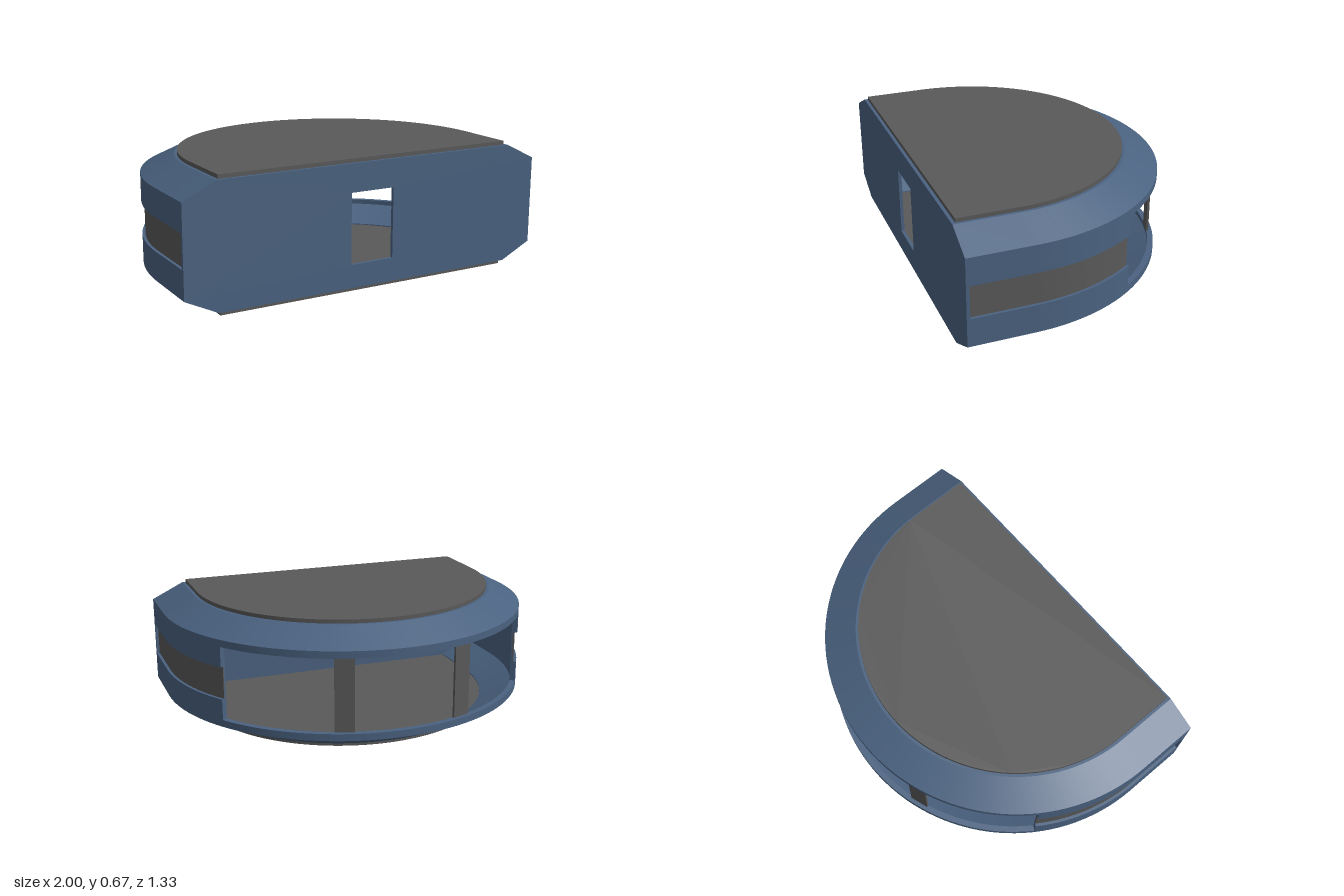
import * as THREE from 'three';
import { toCreasedNormals } from 'three/addons/utils/BufferGeometryUtils.js';

const H = 0.667;          // total height
const CZ = 0.333;         // centre of the rounded back
const FRONT = 0.65;       // inner face of the front wall
const OPEN = 0.587;       // angle at which the side walls stop

const blue = new THREE.MeshStandardMaterial({ color: 0x4a6280 });
const grey = new THREE.MeshStandardMaterial({ color: 0x595959 });

// Sweeps a closed (radius, y) profile, counterclockwise, along the D-shaped outline
function sweep(profile, from, to, segments) {
  const stations = [];
  if (from === 0) stations.push((r) => [r, FRONT]);
  for (let i = 0; i <= segments; i++) {
    const a = from + ((to - from) * i) / segments;
    stations.push((r) => [r * Math.cos(a), CZ - r * Math.sin(a)]);
  }
  if (to === Math.PI) stations.push((r) => [-r, FRONT]);

  const n = profile.length;
  const pos = [], idx = [];
  for (const at of stations) {
    for (const [r, y] of profile) {
      const [x, z] = at(r);
      pos.push(x, y, z);
    }
  }
  for (let i = 0; i < stations.length - 1; i++) {
    for (let j = 0; j < n; j++) {
      const a = i * n + j, b = i * n + ((j + 1) % n);
      idx.push(a, a + n, b, b, a + n, b + n);
    }
  }
  // end caps
  const last = (stations.length - 1) * n;
  const faces = THREE.ShapeUtils.triangulateShape(profile.map((p) => new THREE.Vector2(...p)), []);
  for (const [a, b, c] of faces) idx.push(a, b, c, last + a, last + c, last + b);

  const geo = new THREE.BufferGeometry();
  geo.setAttribute('position', new THREE.Float32BufferAttribute(pos, 3));
  geo.setIndex(idx);
  return toCreasedNormals(geo, 0.35);
}

const flip = (profile) => profile.map(([r, y]) => [r, H - y]).reverse();

export function createModel() {
  const model = new THREE.Group();
  const add = (name, geo, mat) => {
    const mesh = new THREE.Mesh(geo, mat);
    mesh.name = name;
    model.add(mesh);
    return mesh;
  };

  // chamfered rims around floor and roof
  const rim = [[0.8, 0.02], [0.83, 0.02], [1, 0.103], [1, 0.14], [0.97, 0.14], [0.97, 0.115], [0.8, 0.035]];
  add('lowerRim', sweep(rim, 0, Math.PI, 64), blue);
  add('upperRim', sweep(flip(rim), 0, Math.PI, 64), blue);

  // side walls with a recessed channel, and the strip lying in it
  const wall = [[0.97, 0.14], [1, 0.14], [1, 0.25], [0.98, 0.25], [0.98, 0.42], [1, 0.42], [1, H - 0.14], [0.97, H - 0.14]];
  const strip = [[0.975, 0.25], [0.985, 0.25], [0.985, 0.42], [0.975, 0.42]];
  for (const [side, a, b] of [['left', 0, OPEN], ['right', Math.PI - OPEN, Math.PI]]) {
    add(side + 'Wall', sweep(wall, a, b, 14), blue);
    add(side + 'Strip', sweep(strip, a, b, 14), grey);
  }

  // front wall with the doorway
  const front = new THREE.Shape([
    [-0.83, 0.02], [0.83, 0.02], [1, 0.103], [1, H - 0.103],
    [0.83, H - 0.02], [-0.83, H - 0.02], [-1, H - 0.103], [-1, 0.103],
  ].map((p) => new THREE.Vector2(...p)));
  front.holes.push(new THREE.Path([
    [-0.12, 0.14], [-0.12, 0.503], [0.12, 0.503], [0.12, 0.14],
  ].map((p) => new THREE.Vector2(...p))));
  const frontGeo = new THREE.ExtrudeGeometry(front, { depth: H - FRONT, bevelEnabled: false });
  add('frontWall', frontGeo, blue).position.z = FRONT;

  // floor and roof panels
  const plan = new THREE.Shape();
  plan.moveTo(-0.815, -FRONT);
  plan.lineTo(0.815, -FRONT);
  plan.lineTo(0.815, -CZ);
  plan.absarc(0, -CZ, 0.815, 0, Math.PI, false);
  plan.closePath();
  const panel = toCreasedNormals(
    new THREE.ExtrudeGeometry(plan, { depth: 0.03, bevelEnabled: false, curveSegments: 64 }).rotateX(-Math.PI / 2), 0.35);
  add('floorPanel', panel, grey);
  add('roofPanel', panel, grey).position.y = H - 0.03;

  // posts dividing the rear opening in three
  for (const s of [-1, 1]) {
    const a = (s * (Math.PI / 2 - OPEN)) / 3;
    const post = add(s > 0 ? 'leftPost' : 'rightPost', new THREE.BoxGeometry(0.1, H - 0.27, 0.012), grey);
    post.position.set(0.973 * Math.sin(a), H / 2, CZ - 0.973 * Math.cos(a));
    post.rotation.y = -a;
  }
  return model;
}
